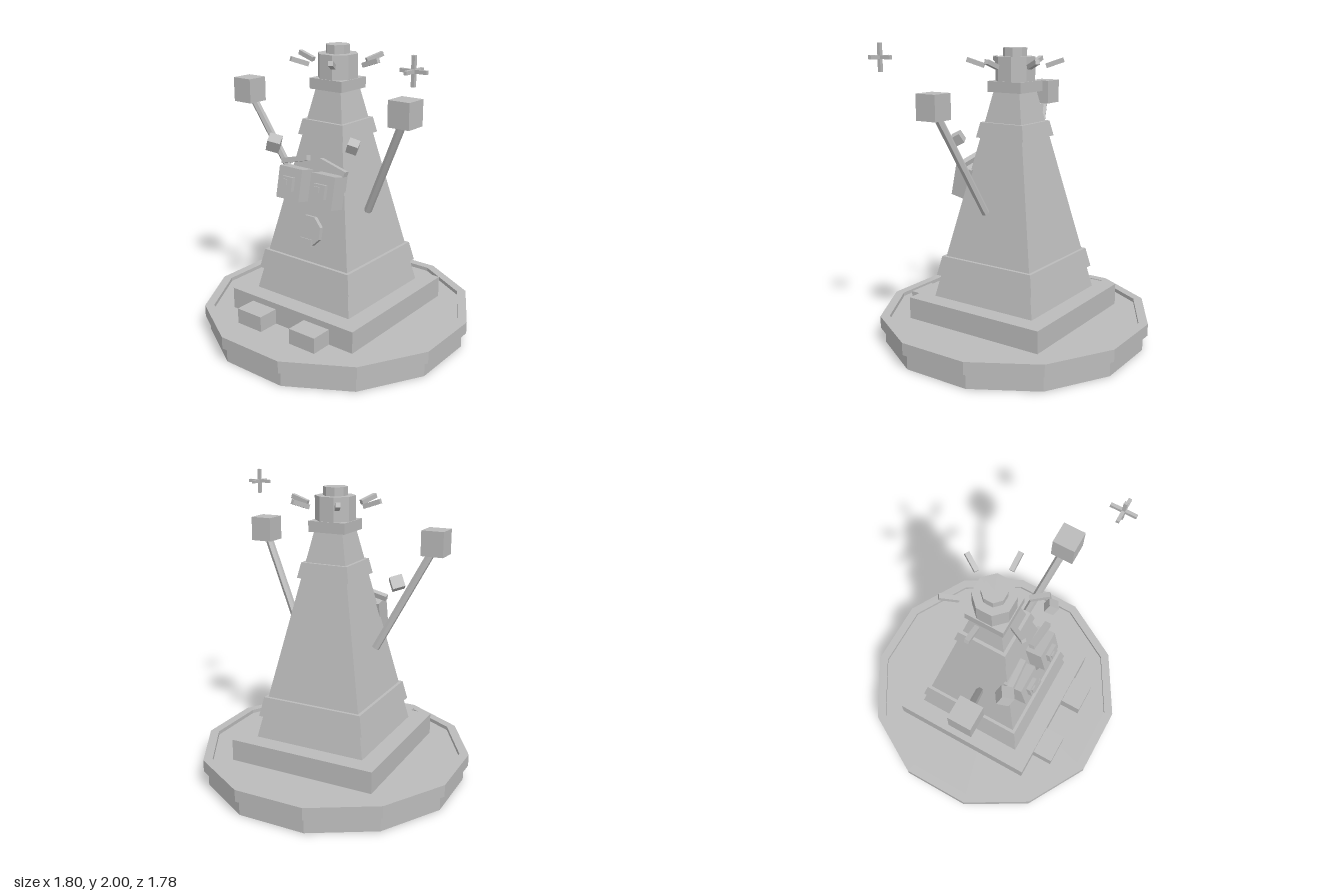
import * as THREE from 'three';

const stone = new THREE.MeshStandardMaterial({ color: 0xbbbbbb, flatShading: true });
stone.name = 'stone grey';

// Adds a named mesh at a position with an optional rotation
function add(parent, name, geometry, [x, y, z], rotation = [0, 0, 0]) {
  const mesh = new THREE.Mesh(geometry, stone);
  mesh.name = name;
  mesh.position.set(x, y, z);
  mesh.rotation.set(...rotation);
  parent.add(mesh);
  return mesh;
}

const box = (w, h, d) => new THREE.BoxGeometry(w, h, d);

// Regular prism with flat sides on the axes, sized by half-width at top and bottom
function prism(top, bottom, height, sides) {
  const k = 1 / Math.cos(Math.PI / sides);
  return new THREE.CylinderGeometry(top * k, bottom * k, height, sides).rotateY(Math.PI / sides);
}

// Half-width of the tapering tower at a height
const LOW = 0.3, HIGH = 1.69;
const towerHalf = (y) => THREE.MathUtils.mapLinear(y, 0.31, 1.68, 0.388, 0.1);
const LEAN = -Math.atan(0.21);

export function createModel() {
  const model = new THREE.Group();
  model.name = 'lighthouse';
  const body = new THREE.Group();
  body.name = 'body';
  body.position.x = -0.01;
  model.add(body);

  // Twelve-sided base with a raised rim
  const profile = [[0, 0], [0.89, 0], [0.89, 0.105], [0.921, 0.105], [0.921, 0.186],
    [0.859, 0.186], [0.859, 0.16], [0, 0.16]].map(([r, y]) => new THREE.Vector2(r, y));
  add(body, 'base', new THREE.LatheGeometry(profile, 12, Math.PI / 12), [0, 0, 0]);

  // Plinth and feet
  add(body, 'plinth', box(1.02, 0.15, 1.02), [0, 0.232, 0]);
  for (const s of [-1, 1]) add(body, 'foot', box(0.205, 0.108, 0.2), [s * 0.224, 0.211, 0.555]);

  // Square tower with two bands
  add(body, 'tower', prism(towerHalf(HIGH), towerHalf(LOW), HIGH - LOW, 4), [0, (LOW + HIGH) / 2, 0]);
  for (const [y0, y1] of [[0.455, 0.585], [1.38, 1.48]]) {
    add(body, 'band', prism(towerHalf(y1) + 0.021, towerHalf(y0) + 0.021, y1 - y0, 4), [0, (y0 + y1) / 2, 0]);
  }

  // Gallery, lantern and cap
  add(body, 'gallery', box(0.256, 0.07, 0.256), [0, 1.71, 0]);
  add(body, 'lantern', prism(0.122, 0.122, 0.16, 8), [0, 1.82, 0]);
  add(body, 'lanternCap', prism(0.073, 0.073, 0.06, 8), [0, 1.926, 0]);

  // Six light rays tilted up and outwards
  for (let i = 0; i < 6; i++) {
    const spoke = new THREE.Group();
    spoke.name = 'rayPivot';
    spoke.rotation.y = (i * Math.PI) / 3;
    add(spoke, 'ray', box(0.12, 0.03, 0.03), [0.257, 1.86, 0], [0, 0, 0.33]);
    body.add(spoke);
  }

  for (const s of [-1, 1]) {
    // Arm and hand
    const from = new THREE.Vector3(s * 0.278, 0.91, 0.04);
    const to = new THREE.Vector3(s * 0.605, 1.56, 0.155);
    const dir = to.clone().sub(from);
    const arm = add(body, 'arm', new THREE.CylinderGeometry(0.026, 0.026, dir.length(), 6),
      from.clone().add(to).multiplyScalar(0.5).toArray());
    arm.quaternion.setFromUnitVectors(new THREE.Vector3(0, 1, 0), dir.normalize());
    add(body, 'hand', box(0.148, 0.162, 0.148), [s * 0.626, 1.622, 0.165]);

    // Eye with pupil and glint, leaning with the wall
    const eye = new THREE.Group();
    eye.name = 'eye';
    eye.position.set(s * 0.133, 1.077, 0.277);
    eye.rotation.x = LEAN;
    add(eye, 'eyeBlock', box(0.19, 0.21, 0.128), [0, 0, 0]);
    add(eye, 'pupil', box(0.092, 0.09, 0.036), [0, 0, 0.074]);
    add(eye, 'glint', box(0.037, 0.037, 0.012), [-0.012, 0.01, 0.096]);
    body.add(eye);

    // Brow, higher at the inner end
    add(body, 'brow', box(0.215, 0.034, 0.04), [s * 0.155, 1.227, 0.245], [LEAN, 0, -s * 0.25]);
  }

  // Mouth and tongue
  const mouth = new THREE.Group();
  mouth.name = 'mouth';
  mouth.position.set(0, 0.785, 0.298);
  mouth.rotation.x = LEAN;
  add(mouth, 'mouthPlate', prism(0.097, 0.097, 0.04, 8).rotateX(Math.PI / 2), [0, 0, 0]);
  add(mouth, 'tongue', box(0.095, 0.045, 0.03), [0, -0.073, 0.016]);
  body.add(mouth);

  // Floating cubes
  add(body, 'floatingCube', box(0.085, 0.085, 0.085), [-0.33, 1.31, 0.257], [0.5, 0.4, -0.5]);
  add(body, 'floatingCube', box(0.067, 0.067, 0.067), [0.303, 1.385, 0.238], [0.5, 0.3, -0.5]);

  // Sparkle of three crossed bars
  const sparkle = new THREE.Group();
  sparkle.name = 'sparkle';
  sparkle.position.set(0.822, 1.916, 0.397);
  for (let i = 0; i < 3; i++) {
    const size = [0.021, 0.021, 0.021];
    size[i] = 0.17;
    add(sparkle, 'sparkleBar', box(...size), [0, 0, 0]);
  }
  body.add(sparkle);

  return model;
}
